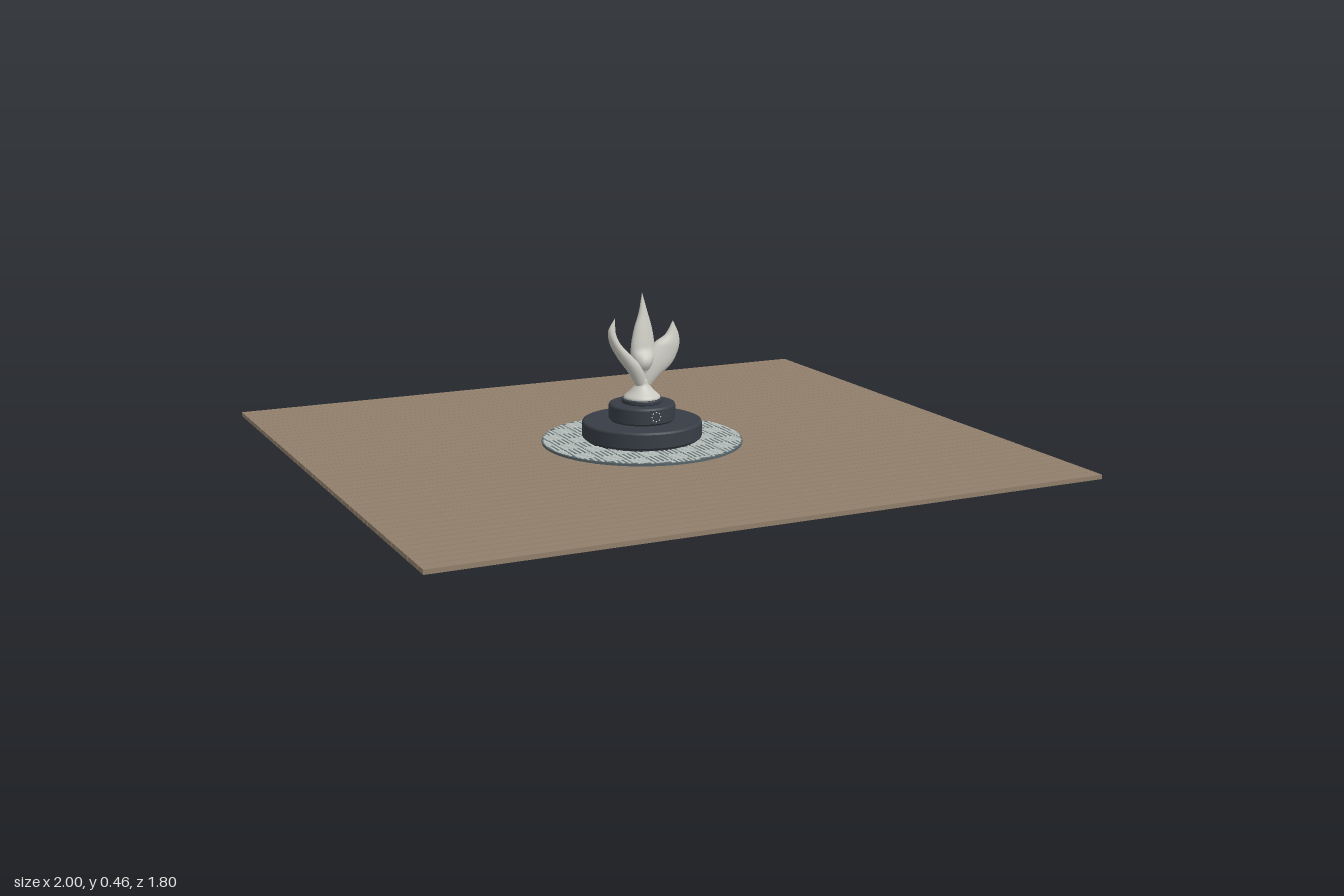
import * as THREE from 'three';

const mat = (name, color, side = THREE.FrontSide) => {
  const m = new THREE.MeshStandardMaterial({ color, side });
  m.name = name;
  return m;
};

// Lens-shaped blade between two edge curves; rows are [leftX, leftY, rightX, rightY, z, halfDepth]
function bladeGeometry(rows, steps = 36, sides = 18) {
  const left = new THREE.CatmullRomCurve3(rows.map(r => new THREE.Vector3(r[0], r[1], r[4])));
  const right = new THREE.CatmullRomCurve3(rows.map(r => new THREE.Vector3(r[2], r[3], r[4])));
  const depth = new THREE.CatmullRomCurve3(rows.map(r => new THREE.Vector3(r[5], 0, 0)));
  const pos = [], index = [];
  for (let i = 0; i <= steps; i++) {
    const l = left.getPoint(i / steps), r = right.getPoint(i / steps);
    const d = Math.max(0, depth.getPoint(i / steps).x);
    const mid = l.clone().add(r).multiplyScalar(0.5), half = r.clone().sub(mid);
    for (let j = 0; j < sides; j++) {
      const a = (j / sides) * Math.PI * 2;
      const p = mid.clone().addScaledVector(half, Math.cos(a));
      pos.push(p.x, p.y, p.z + d * Math.sin(a));
      if (i < steps) {
        const n = (j + 1) % sides, b = i * sides, u = b + sides;
        index.push(b + j, u + j, b + n, u + j, u + n, b + n);
      }
    }
  }
  const g = new THREE.BufferGeometry();
  g.setAttribute('position', new THREE.Float32BufferAttribute(pos, 3));
  g.setIndex(index);
  g.computeVertexNormals();
  return g;
}

// Disc with small bevelled rims
function tierGeometry(r, y0, y1, b) {
  const pts = [[0, y0], [r - b, y0], [r - b, y0], [r, y0 + b], [r, y0 + b],
    [r, y1 - b], [r, y1 - b], [r - b * 0.3, y1 - b * 0.3], [r - b, y1], [r - b, y1], [0, y1]];
  return new THREE.LatheGeometry(pts.map(p => new THREE.Vector2(...p)), 64);
}

export function createModel() {
  const root = new THREE.Group();
  const wood = mat('tan wood', 0x917f6b);
  const groove = mat('dark groove', 0x54483c);
  const slate = mat('slate tile', 0x59666b);
  const pale = mat('pale tile', 0xb9c3bf);
  const charcoal = mat('charcoal stone', 0x383e46);
  const ivory = mat('ivory stone', 0xc8c7bf, THREE.DoubleSide);

  const add = (parent, name, geometry, material, x = 0, y = 0, z = 0) => {
    const m = new THREE.Mesh(geometry, material);
    m.name = name;
    m.position.set(x, y, z);
    parent.add(m);
    return m;
  };

  // Slatted deck
  const deck = new THREE.Group();
  deck.name = 'deck';
  root.add(deck);
  const slat = new THREE.BoxGeometry(2, 0.013, 0.0375);
  for (let i = 0; i < 45; i++) add(deck, 'deckSlat', slat, wood, 0, 0.0065, -0.88 + i * 0.04);
  add(deck, 'deckGrooves', new THREE.BoxGeometry(1.998, 0.007, 1.794), groove, 0, 0.0055, 0);

  const center = new THREE.Group();
  center.name = 'monument';
  center.position.z = -0.008;
  root.add(center);

  // Round paving with basket-weave strips clipped to the circle
  const R = 0.302, cell = 0.06, per = 4, pitch = cell / per;
  add(center, 'pavingDisc', new THREE.CylinderGeometry(R, R, 0.008, 64), slate, 0, 0.016, 0);
  const weave = new THREE.Group();
  weave.name = 'basketWeave';
  center.add(weave);
  for (let cx = -5; cx <= 5; cx++) for (let cz = -5; cz <= 5; cz++) for (let k = 0; k < per; k++) {
    const alongX = (cx + cz) % 2 === 0;
    const main = (alongX ? cx : cz) * cell;
    const cross = (alongX ? cz : cx) * cell + (k - (per - 1) / 2) * pitch;
    const chord = Math.sqrt(Math.max(0, (R - 0.002) ** 2 - (Math.abs(cross) + 0.004) ** 2));
    const a = Math.max(main - cell / 2 + 0.002, -chord), b = Math.min(main + cell / 2 - 0.002, chord);
    if (b - a < 0.006 || Math.hypot(main, cross) < 0.14) continue;
    const len = b - a, at = (a + b) / 2;
    add(weave, 'weaveStrip', new THREE.BoxGeometry(alongX ? len : 0.008, 0.003, alongX ? 0.008 : len),
      pale, alongX ? at : cross, 0.0208, alongX ? cross : at);
  }

  // Stepped pedestal
  add(center, 'pedestalFoot', new THREE.CylinderGeometry(0.165, 0.165, 0.012, 64), charcoal, 0, 0.024, 0);
  add(center, 'lowerTier', tierGeometry(0.18, 0.027, 0.08, 0.006), charcoal);
  add(center, 'upperTier', tierGeometry(0.1, 0.08, 0.133, 0.006), charcoal);
  add(center, 'collar', tierGeometry(0.062, 0.133, 0.147, 0.003), charcoal);

  // Small studs on the front of the upper tier
  const stud = new THREE.SphereGeometry(0.0025, 8, 6);
  for (let i = 0; i < 8; i++) {
    const a = (i / 8) * Math.PI * 2, x = Math.cos(a) * 0.014;
    add(center, 'frontStud', stud, pale, x, 0.107 + Math.sin(a) * 0.014, Math.sqrt(0.01 - x * x));
  }

  // Flared base of the sculpture
  const flare = new THREE.SplineCurve([[0.055, 0.147], [0.053, 0.154], [0.036, 0.17], [0.022, 0.188], [0.018, 0.205], [0.001, 0.22]]
    .map(p => new THREE.Vector2(...p)));
  add(center, 'sculptureFlare', new THREE.LatheGeometry(flare.getPoints(24), 40), ivory);

  // Three rising blades
  const blades = {
    middleBlade: [
      [-0.014, 0.17, 0.014, 0.17, 0, 0.014], [-0.025, 0.23, 0.026, 0.23, -0.005, 0.021],
      [-0.03, 0.29, 0.046, 0.29, -0.013, 0.021], [-0.017, 0.35, 0.043, 0.35, -0.021, 0.016],
      [0.002, 0.4, 0.031, 0.4, -0.027, 0.009], [0.015, 0.458, 0.016, 0.458, -0.032, 0.001]],
    rightBlade: [
      [-0.012, 0.17, 0.016, 0.17, 0, 0.014], [-0.004, 0.225, 0.055, 0.208, -0.001, 0.02],
      [0.012, 0.268, 0.101, 0.245, -0.004, 0.023], [0.042, 0.308, 0.125, 0.292, -0.006, 0.02],
      [0.08, 0.332, 0.125, 0.327, -0.006, 0.012], [0.105, 0.372, 0.106, 0.372, -0.006, 0.001]],
    leftBlade: [
      [-0.016, 0.175, 0.014, 0.18, 0.004, 0.014], [-0.046, 0.225, -0.004, 0.24, 0.008, 0.021],
      [-0.083, 0.275, -0.044, 0.284, 0.01, 0.023], [-0.109, 0.322, -0.079, 0.322, 0.011, 0.019],
      [-0.115, 0.36, -0.092, 0.353, 0.012, 0.011], [-0.094, 0.397, -0.093, 0.396, 0.012, 0.001]],
  };
  for (const [name, rows] of Object.entries(blades)) add(center, name, bladeGeometry(rows), ivory);

  return root;
}
